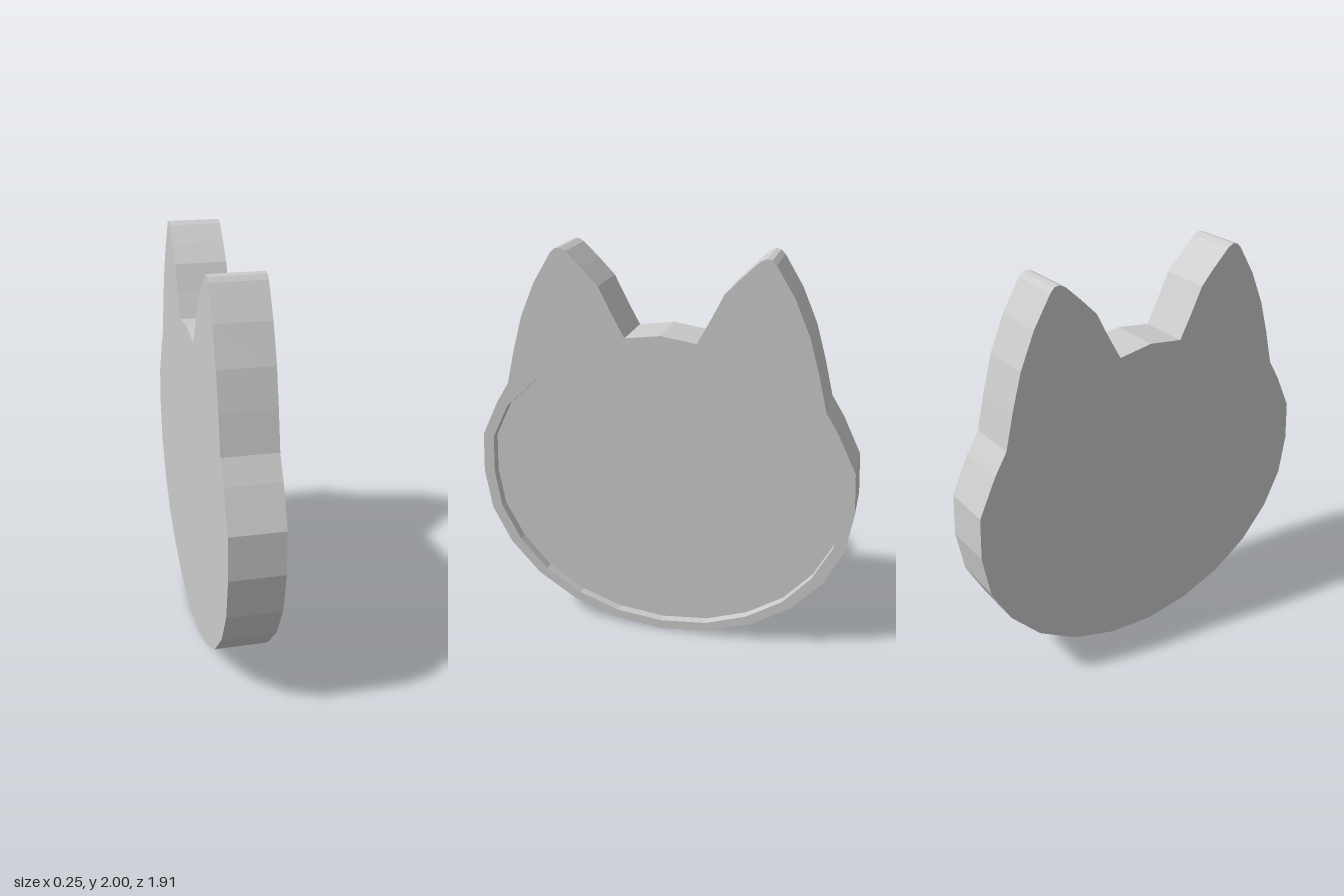
import * as THREE from 'three';

const BACK = -0.13, FRONT = 0.125, FLOOR = 0.08;

// Mirror a half outline (bottom centre to top centre) into a closed counter-clockwise loop
function mirrorLoop(half) {
  const pts = half.map(([x, y]) => new THREE.Vector2(x, y));
  const other = half.slice(1, -1).reverse().map(([x, y]) => new THREE.Vector2(-x, y));
  return [...pts, ...other];
}

// Straight wall along a closed loop between two depths, facing outwards for a counter-clockwise loop
function wallGeometry(loop, z0, z1) {
  const pos = [];
  loop.forEach((a, i) => {
    const b = loop[(i + 1) % loop.length];
    pos.push(a.x, a.y, z0, b.x, b.y, z0, b.x, b.y, z1);
    pos.push(a.x, a.y, z0, b.x, b.y, z1, a.x, a.y, z1);
  });
  const geo = new THREE.BufferGeometry();
  geo.setAttribute('position', new THREE.Float32BufferAttribute(pos, 3));
  geo.computeVertexNormals();
  return geo;
}

export function createModel() {
  const group = new THREE.Group();
  group.name = 'earedDish';
  const material = new THREE.MeshStandardMaterial({ color: 0xcccccc, flatShading: true });

  // Head outline with one pointed ear
  const outer = mirrorLoop([
    [0, 0], [0.25, 0.03], [0.48, 0.11], [0.68, 0.24], [0.83, 0.41], [0.925, 0.6],
    [0.957, 0.81], [0.945, 1.02], [0.855, 1.205], [0.79, 1.31], [0.745, 1.49],
    [0.695, 1.66], [0.62, 1.83], [0.53, 1.975], [0.51, 1.995], [0.485, 2], [0.455, 1.985],
    [0.377, 1.91], [0.3, 1.83], [0.24, 1.71], [0.175, 1.59], [0, 1.615],
  ]);
  // Outline of the shallow round recess
  const inner = mirrorLoop([
    [0, 0.05], [0.24, 0.075], [0.45, 0.15], [0.635, 0.27], [0.775, 0.43], [0.87, 0.615],
    [0.9, 0.81], [0.89, 1.01], [0.8, 1.19], [0.63, 1.35], [0.4, 1.485], [0.23, 1.53], [0, 1.567],
  ]);

  const add = (name, geo) => {
    geo.rotateY(Math.PI / 2); // profile depth becomes the x direction
    const mesh = new THREE.Mesh(geo, material);
    mesh.name = name;
    group.add(mesh);
  };

  // Rim and ears: front face with the recess cut out
  const rimShape = new THREE.Shape(outer);
  rimShape.holes.push(new THREE.Path(inner));
  add('rimFace', new THREE.ShapeGeometry(rimShape).translate(0, 0, FRONT));

  // Recess floor and its inward-facing wall
  add('recessFloor', new THREE.ShapeGeometry(new THREE.Shape(inner)).translate(0, 0, FLOOR));
  add('recessWall', wallGeometry([...inner].reverse(), FLOOR, FRONT));

  // Outer wall and flat back (turned around; the outline is symmetric)
  add('outerWall', wallGeometry(outer, BACK, FRONT));
  add('backFace', new THREE.ShapeGeometry(new THREE.Shape(outer)).rotateY(Math.PI).translate(0, 0, BACK));

  return group;
}
